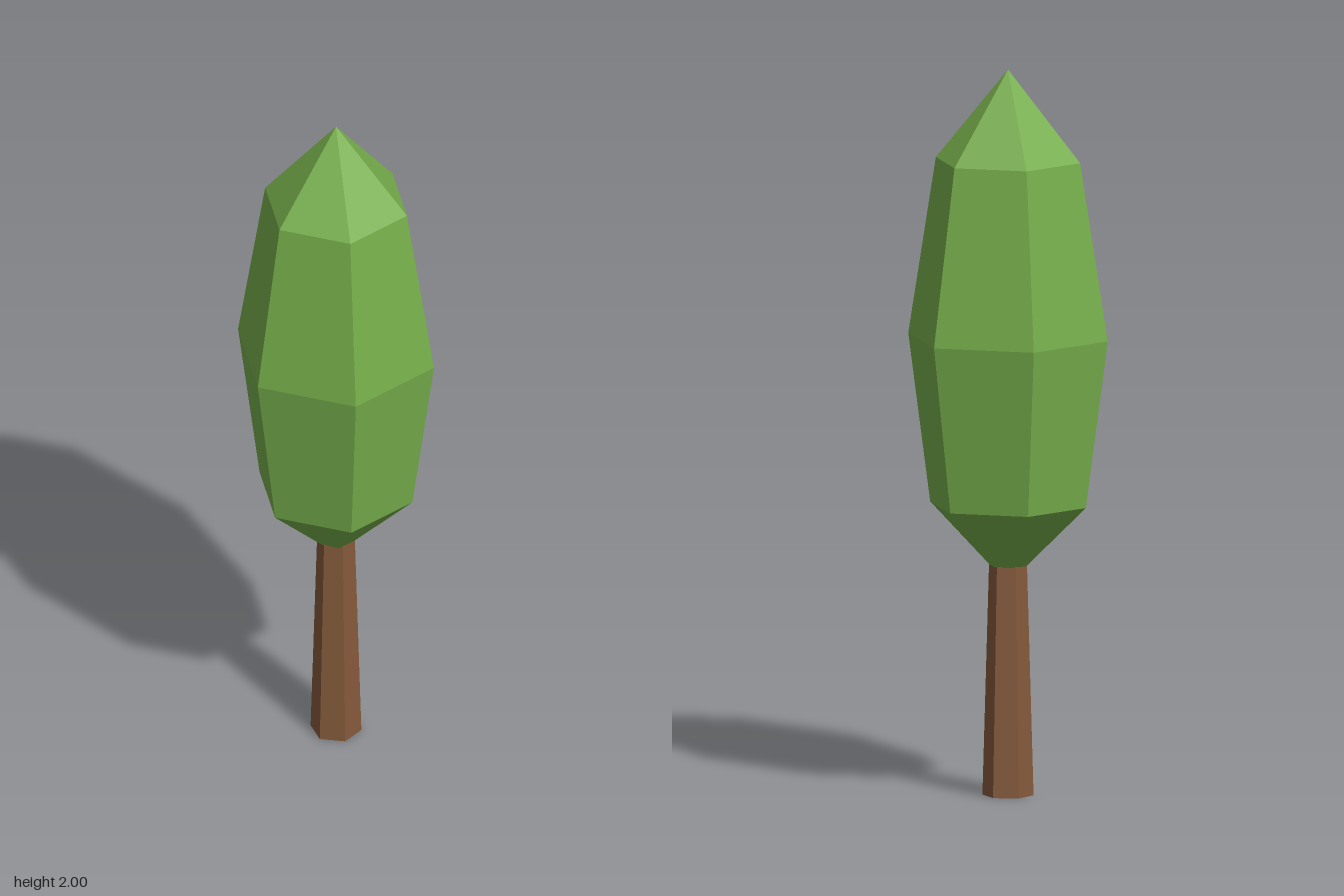
import * as THREE from 'three';

const SIDES = 6;

export function createModel() {
  const leafGreen = new THREE.MeshStandardMaterial({ color: 0x76ae4b });
  leafGreen.name = 'leafGreen';
  const barkBrown = new THREE.MeshStandardMaterial({ color: 0x855a3c });
  barkBrown.name = 'barkBrown';
  leafGreen.flatShading = barkBrown.flatShading = true;

  const tree = new THREE.Group();
  tree.name = 'tree';

  // Tapered six-sided trunk, with corners on the x axis
  const trunkHeight = 0.635;
  const trunk = new THREE.Mesh(
    new THREE.CylinderGeometry(0.052, 0.07, trunkHeight, SIDES, 1, false, Math.PI / 6),
    barkBrown
  );
  trunk.name = 'trunk';
  trunk.position.y = trunkHeight / 2;
  tree.add(trunk);

  // Six-sided crown: radius and height of each ring, from the bottom up
  const profile = [
    [0, 0.633], [0.052, 0.633], [0.22, 0.8], [0.282, 1.262], [0.204, 1.75], [0, 2]
  ].map(([radius, y]) => new THREE.Vector2(radius, y));
  const crown = new THREE.Mesh(
    new THREE.LatheGeometry(profile, SIDES, THREE.MathUtils.degToRad(20)),
    leafGreen
  );
  crown.name = 'crown';
  tree.add(crown);

  return tree;
}
